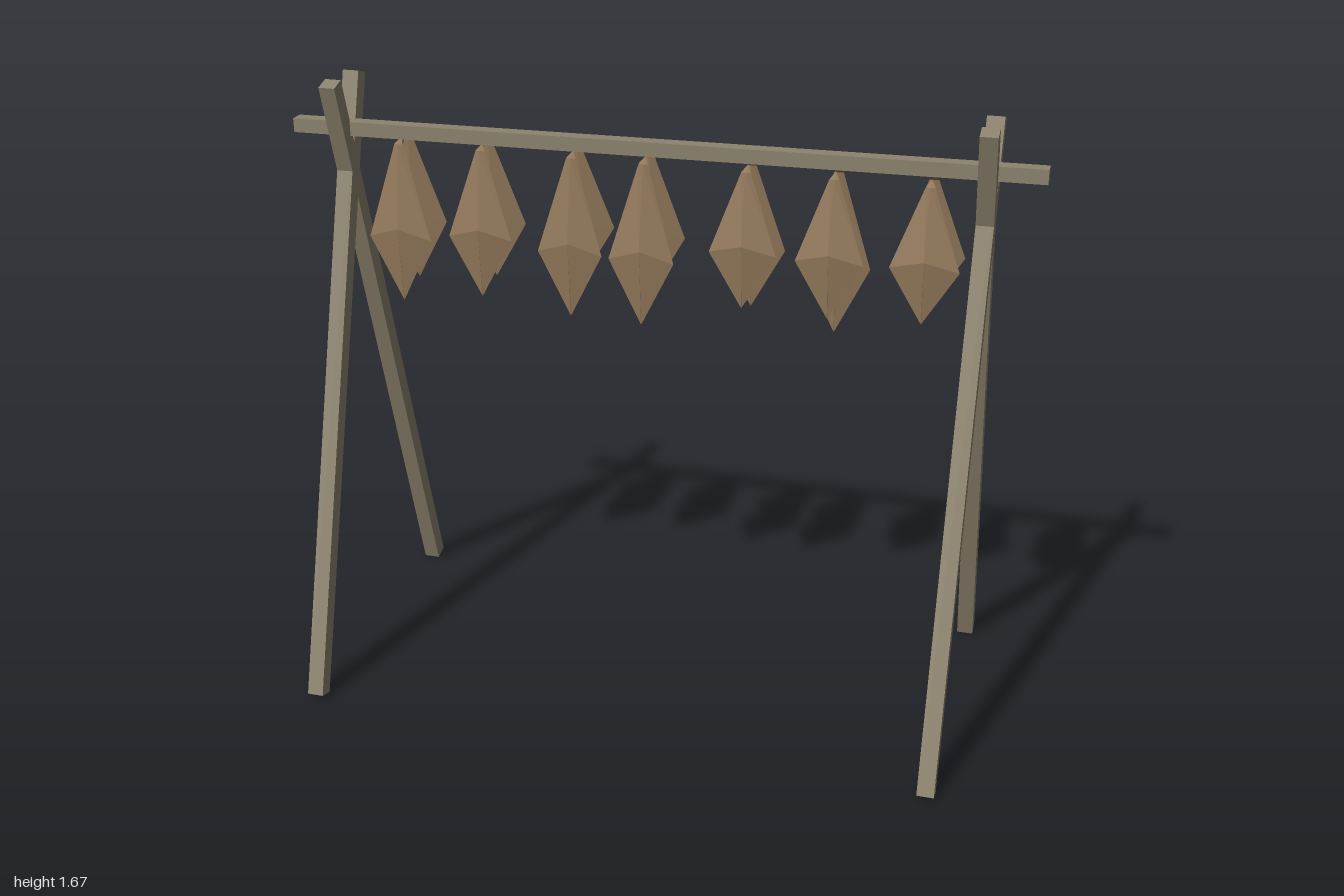
import * as THREE from 'three';

const wood = new THREE.MeshStandardMaterial({ color: 0x8c826d, flatShading: true });
wood.name = 'weathered wood';
const hide = new THREE.MeshStandardMaterial({ color: 0x92785a, flatShading: true });
hide.name = 'dried hide';

// Four-sided tapering piece hanging from the origin height, bulging toward +z
function hideGeometry(length) {
  // each ring: half width, side y, side z, outer y, outer z, inner z
  const rings = [
    [0.002, 0.004, 0.012, 0.004, 0.014, 0.010],
    [0.012, -0.008, 0.034, -0.008, 0.040, 0.028],
    [0.088, -0.6 * length, 0.058, -0.53 * length, 0.075, 0.042],
    [0.001, -length, 0.056, -length, 0.057, 0.055],
  ];
  const points = [];
  const index = [];
  for (const [w, y, z, outerY, outerZ, innerZ] of rings) {
    points.push(w, y, z, 0, outerY, outerZ, -w, y, z, 0, y, innerZ);
  }
  for (let r = 0; r < rings.length - 1; r++) {
    for (let i = 0; i < 4; i++) {
      const a = r * 4 + i, b = r * 4 + (i + 1) % 4;
      index.push(a, b, a + 4, b, b + 4, a + 4);
    }
  }
  const end = (rings.length - 1) * 4;
  index.push(0, 2, 1, 0, 3, 2, end, end + 1, end + 2, end, end + 2, end + 3);
  const indexed = new THREE.BufferGeometry();
  indexed.setAttribute('position', new THREE.Float32BufferAttribute(points, 3));
  indexed.setIndex(index);
  const geometry = indexed.toNonIndexed();
  geometry.computeVertexNormals();
  return geometry;
}

export function createModel() {
  const model = new THREE.Group();
  model.name = 'dryingRack';

  // Crossed legs at both ends
  const legGeometry = new THREE.BoxGeometry(0.045, 1.735, 0.045);
  for (const side of [-1, 1]) {
    for (const facing of [-1, 1]) {
      const leg = new THREE.Mesh(legGeometry, wood);
      leg.name = (facing > 0 ? 'front' : 'back') + (side > 0 ? 'LeftLeg' : 'RightLeg');
      leg.position.set(side * 0.857, 0.84, facing * 0.176);
      leg.rotation.x = -facing * 0.295;
      model.add(leg);
    }
  }

  // Slightly tilted crossbeam
  const beam = new THREE.Mesh(new THREE.BoxGeometry(2, 0.038, 0.04), wood);
  beam.name = 'crossbeam';
  beam.position.y = 1.544;
  beam.rotation.z = 0.01;
  model.add(beam);

  // Pairs of hanging hides: x, front length, back length
  const pairs = [
    [-0.69, 0.44, 0.41], [-0.46, 0.405, 0.385], [-0.21, 0.435, 0.365], [-0.015, 0.44, 0.385],
    [0.255, 0.365, 0.4], [0.48, 0.37, 0.45], [0.72, 0.36, 0.36],
  ];
  for (const [x, frontLength, backLength] of pairs) {
    const pair = new THREE.Group();
    pair.name = 'hidePair';
    pair.position.set(x, 1.518, 0);
    const front = new THREE.Mesh(hideGeometry(frontLength), hide);
    front.name = 'frontHide';
    const back = new THREE.Mesh(hideGeometry(backLength), hide);
    back.name = 'backHide';
    back.rotation.y = Math.PI;
    pair.add(front, back);
    model.add(pair);
  }
  return model;
}
